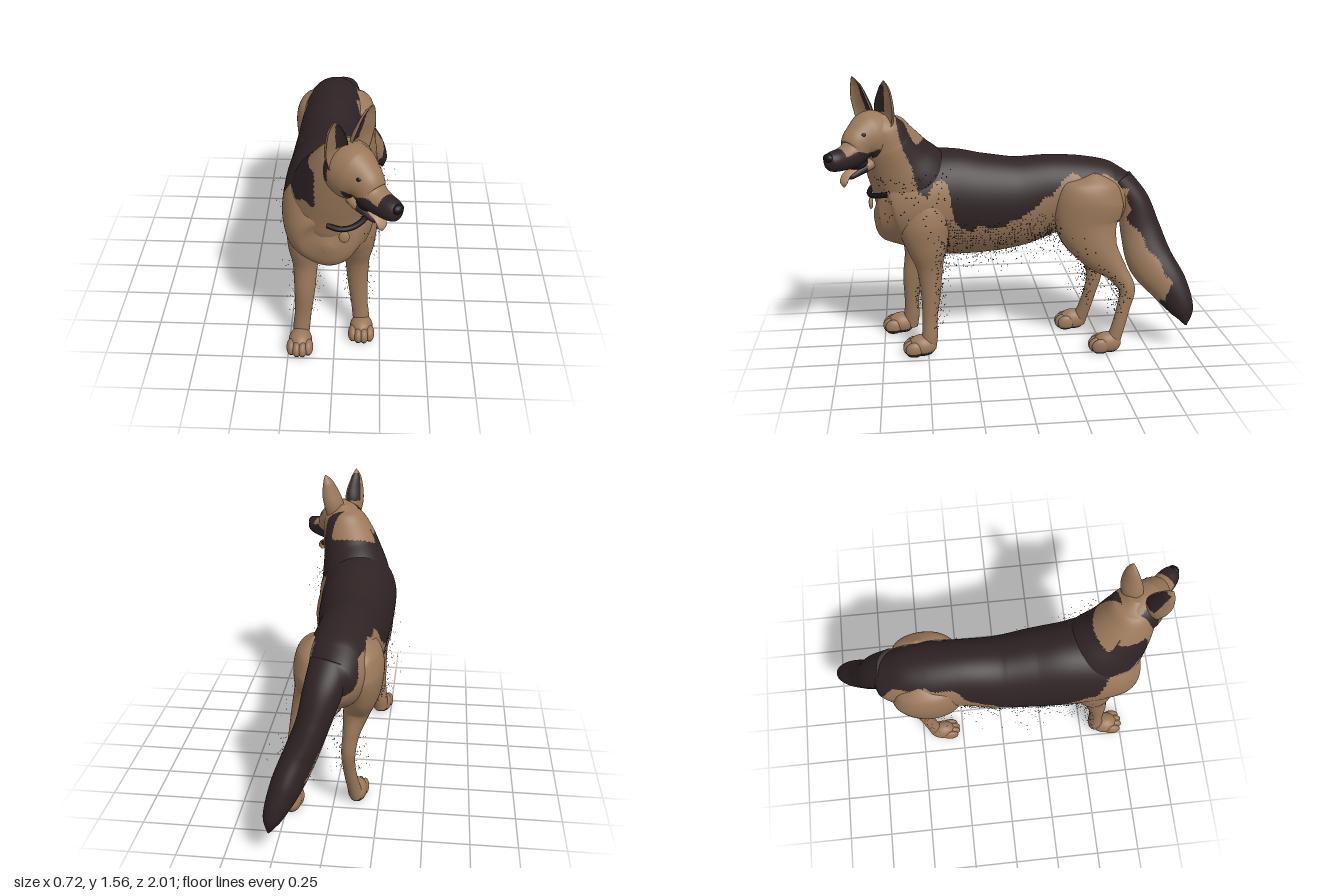
import * as THREE from 'three';

const mat = (name, color, side = THREE.FrontSide) => {
  const m = new THREE.MeshStandardMaterial({ color, side });
  m.name = name;
  return m;
};
const tan = mat('tan coat', 0x9a785a);
const dark = mat('dark coat', 0x2f2324);
const black = mat('black', 0x171213);
const pink = mat('tongue', 0xb08a6c);
const brass = mat('tag', 0xa5825f);
const hairMat = mat('loose hair', 0x2a2122, THREE.DoubleSide);

let seed = 7;
const rand = () => (seed = (seed * 16807) % 2147483647) / 2147483647;
const lerpTable = (table, v) => {
  if (v <= table[0][0]) return table[0][1];
  for (let i = 1; i < table.length; i++) {
    const [a, b] = [table[i - 1], table[i]];
    if (v <= b[0]) return a[1] + (b[1] - a[1]) * (v - a[0]) / (b[0] - a[0]);
  }
  return table[table.length - 1][1];
};

// Smooth skin through elliptical sections [x, y, z, radiusSide, radiusDepth]
function loft(sections, { around = 48, steps = 9, egg = 0, cup = false } = {}) {
  const path = new THREE.CatmullRomCurve3(sections.map(s => new THREE.Vector3(s[0], s[1], s[2])));
  const radii = new THREE.CatmullRomCurve3(sections.map(s => new THREE.Vector3(s[3], s[4], 0)), false, 'catmullrom', 0.5);
  const rows = (sections.length - 1) * steps, pos = [], idx = [];
  for (let i = 0; i <= rows; i++) {
    const p = path.getPoint(i / rows), r = radii.getPoint(i / rows), t = path.getTangent(i / rows);
    const u = new THREE.Vector3(1, 0, 0).addScaledVector(t, -t.x).normalize();
    const v = new THREE.Vector3().crossVectors(t, u);
    for (let j = 0; j < around; j++) {
      const a = j / around * Math.PI * 2, s = Math.sin(a);
      const q = p.clone().addScaledVector(u, Math.cos(a) * Math.max(r.x, 0.002) * (1 + egg * s))
        .addScaledVector(v, s * Math.max(r.y, 0.002) * (cup && s < 0 ? -0.4 : 1));
      pos.push(q.x, q.y, q.z);
    }
  }
  for (let i = 0; i < rows; i++) for (let j = 0; j < around; j++) {
    const k = (j + 1) % around, a = i * around + j, b = i * around + k;
    idx.push(a, b, b + around, a, b + around, a + around);
  }
  const last = rows * around;
  for (let j = 1; j < around - 1; j++) idx.push(0, j + 1, j, last, last + j, last + j + 1);
  const g = new THREE.BufferGeometry();
  g.setAttribute('position', new THREE.Float32BufferAttribute(pos, 3));
  g.setIndex(idx);
  g.computeVertexNormals();
  return g;
}

const blob = (rx, ry, rz, x, y, z) => new THREE.SphereGeometry(1, 28, 20).scale(rx, ry, rz).translate(x, y, z);

function plain(name, geo, material) {
  const m = new THREE.Mesh(geo, material);
  m.name = name;
  return m;
}
// Sort the faces into a tan group and a dark group by a rule on face centre and normal
function painted(name, geo, isDark) {
  const P = geo.attributes.position, src = geo.index.array, lists = [[], []], tri = new THREE.Triangle();
  const mid = new THREE.Vector3(), n = new THREE.Vector3();
  for (let i = 0; i < src.length; i += 3) {
    tri.setFromAttributeAndIndices(P, src[i], src[i + 1], src[i + 2]);
    tri.getMidpoint(mid);
    tri.getNormal(n);
    lists[isDark(mid, n) ? 1 : 0].push(src[i], src[i + 1], src[i + 2]);
  }
  geo.setIndex([...lists[0], ...lists[1]]);
  geo.addGroup(0, lists[0].length, 0);
  geo.addGroup(lists[0].length, lists[1].length, 1);
  return plain(name, geo, [tan, dark]);
}

// Lower edge of the dark saddle along the body; it reaches lower on the right shoulder
const saddleEdge = [[-0.8, 0.5], [-0.7, 0.8], [-0.64, 0.92], [-0.55, 0.99], [-0.28, 1.0], [-0.2, 0.9], [-0.1, 0.83], [0, 0.76],
  [0.1, 0.73], [0.3, 0.73], [0.34, 0.78], [0.37, 0.97], [0.41, 1.03], [0.45, 1.0], [0.48, 0.92], [0.53, 0.95], [0.57, 1.12],
  [0.62, 1.25], [0.66, 1.45]];
const rightShoulderEdge = [[0.3, 0.76], [0.5, 0.88], [0.57, 1.02], [0.8, 1.04]];
const saddle = p => {
  const wob = 0.01 * Math.sin(p.z * 37 + p.x * 9) + 0.006 * Math.sin(p.z * 71);
  if (Math.hypot(p.x / 0.12, (p.z - 0.57) / 0.08) < 1 + wob * 8 && p.y > 1.14) return false;
  if (p.x < -0.09 && p.z > 0.3 && p.y > lerpTable(rightShoulderEdge, p.z) + wob && p.y < 1.22) return true;
  return p.y > lerpTable(saddleEdge, p.z) + wob;
};

// Sparse short hairs standing off a surface
function looseHair(geo, where, density, length, out) {
  const P = geo.attributes.position, N = geo.attributes.normal;
  const p = new THREE.Vector3(), n = new THREE.Vector3();
  for (let i = 0; i < P.count; i++) {
    p.fromBufferAttribute(P, i);
    n.fromBufferAttribute(N, i);
    if (!where(p, n) || rand() > density) continue;
    p.addScaledVector(n, 0.003 + length * rand() * rand());
    const s = 0.007;
    out.push(p.x, p.y, p.z, p.x + s * n.z, p.y - s, p.z - s * n.x, p.x - s * n.z * 0.6, p.y - s * 1.3, p.z + s * n.x * 0.6);
  }
}

function makeHead() {
  const head = new THREE.Group();
  head.name = 'head';
  head.add(painted('skullAndMuzzle', loft([
    [0, -0.01, -0.14, 0.02, 0.02], [0, -0.01, -0.115, 0.085, 0.09], [0, -0.02, -0.05, 0.124, 0.135], [0, -0.03, 0.03, 0.118, 0.138],
    [0, -0.048, 0.09, 0.09, 0.102], [0, -0.092, 0.14, 0.073, 0.076], [0, -0.108, 0.21, 0.062, 0.06],
    [0, -0.11, 0.265, 0.055, 0.054], [0, -0.11, 0.298, 0.04, 0.042], [0, -0.11, 0.316, 0.006, 0.006]], { around: 64, steps: 12 }),
    p => (p.z > 0.035 && p.y < -0.078 + 0.008 * Math.sin(p.z * 50) && p.y > -0.2) || p.z > 0.225
      || (p.x < -0.045 && p.z < -0.04 && p.y > -0.05 && p.y < 0.09)));
  head.add(painted('lowerJaw', loft([[0, -0.14, -0.02, 0.05, 0.04], [0, -0.165, 0.05, 0.058, 0.036], [0, -0.19, 0.12, 0.046, 0.026],
    [0, -0.208, 0.17, 0.034, 0.018], [0, -0.214, 0.195, 0.006, 0.005]], { around: 28 }), p => p.z > 0.08));
  head.add(plain('mouthLining', blob(0.045, 0.035, 0.07, 0, -0.158, 0.09), black));
  head.add(plain('tongue', loft([[0, -0.165, 0.08, 0.026, 0.01], [0, -0.18, 0.14, 0.031, 0.011], [0, -0.2, 0.186, 0.031, 0.01],
    [0, -0.235, 0.207, 0.027, 0.01], [0, -0.26, 0.205, 0.004, 0.003]], { around: 24 }), pink));
  head.add(plain('nose', blob(0.032, 0.025, 0.024, 0, -0.088, 0.298), black));
  for (const s of [1, -1]) {
    head.add(plain('eye', blob(0.016, 0.018, 0.022, s * 0.062, 0.008, 0.104), black));
    // cupped pointed ear, dark along its inner fold
    const ear = loft([[0.07, 0.03, -0.02, 0.055, 0.045], [0.08, 0.1, -0.015, 0.067, 0.052], [0.097, 0.17, -0.005, 0.06, 0.043],
      [0.111, 0.235, 0, 0.039, 0.028], [0.118, 0.27, 0.006, 0.018, 0.012], [0.12, 0.286, 0.01, 0.003, 0.003]]
      .map(r => [s * r[0], ...r.slice(1)]), { around: 36, cup: true });
    head.add(painted('ear', ear, (p, n) => {
      const offset = s * p.x - 0.065 - 0.19 * p.y;
      return p.y > 0.11 && p.y < 0.265 && (n.z > 0.1 ? offset < -0.012 : s < 0 && n.z < -0.2 && offset < 0.01);
    }));
  }
  head.position.set(0.09, 1.27, 0.77);
  head.rotation.y = Math.PI / 4;
  return head;
}

// Paw with four toes, flat dark sole on the ground
function makePaw(name, x, z, sole, width) {
  const paw = new THREE.Group();
  paw.name = name;
  const add = (part, geo) => {
    const P = geo.attributes.position;
    for (let i = 0; i < P.count; i++) P.setY(i, Math.max(0, P.getY(i)));
    paw.add(painted(part, geo, p => p.y < sole));
  };
  add('pad', blob(width, 0.064, 0.08, x, 0.045, z));
  [-1.5, -0.5, 0.5, 1.5].forEach(k =>
    add('toe', blob(width * 0.42, 0.046, 0.048, x + k * width * 0.48, 0.036, z + 0.066 - Math.abs(k) * 0.014)));
  return paw;
}

export function createModel() {
  const dog = new THREE.Group();
  dog.name = 'dog';
  const hair = [];

  const torso = loft([[-0.02, 0.86, -0.72, 0.02, 0.03], [-0.02, 0.86, -0.68, 0.105, 0.11], [-0.03, 0.855, -0.57, 0.155, 0.185],
    [-0.04, 0.86, -0.42, 0.18, 0.215], [-0.05, 0.86, -0.22, 0.178, 0.23], [-0.055, 0.82, 0, 0.195, 0.265],
    [-0.05, 0.82, 0.2, 0.212, 0.29], [-0.05, 0.835, 0.38, 0.222, 0.305], [-0.035, 0.84, 0.55, 0.235, 0.285],
    [-0.03, 0.8, 0.67, 0.208, 0.22], [-0.02, 0.78, 0.745, 0.135, 0.145], [-0.02, 0.78, 0.78, 0.02, 0.02]],
    { around: 96, steps: 14, egg: 0.05 });
  looseHair(torso, p => p.y < 0.78 && p.z > -0.25 && p.z < 0.5, 0.3, 0.15, hair);
  looseHair(torso, p => p.y > 0.62 && p.y < 0.8 && p.z > -0.22 && p.z < 0.45, 0.5, 0.004, hair);
  dog.add(painted('torso', torso, saddle));

  const neck = loft([[-0.04, 0.82, 0.48, 0.21, 0.26], [-0.02, 0.98, 0.565, 0.205, 0.235], [0.01, 1.1, 0.635, 0.178, 0.19],
    [0.05, 1.22, 0.69, 0.15, 0.15], [0.08, 1.31, 0.715, 0.112, 0.115], [0.09, 1.37, 0.72, 0.04, 0.04]], { around: 72, steps: 14 });
  looseHair(neck, (p, n) => n.x > 0.7 && p.y > 0.8 && p.y < 1.05, 0.25, 0.12, hair);
  dog.add(painted('neck', neck, saddle));
  dog.add(makeHead());

  // collar and tag
  const band = new THREE.CatmullRomCurve3([[-0.03, 0.935, 0.785], [0.03, 0.922, 0.797], [0.09, 0.922, 0.782],
    [0.14, 0.932, 0.742], [0.17, 0.945, 0.69]].map(a => new THREE.Vector3(...a)));
  dog.add(plain('collar', new THREE.TubeGeometry(band, 30, 0.015, 10), black));
  dog.add(plain('tag', blob(0.027, 0.035, 0.012, 0.055, 0.87, 0.79), brass));

  // front legs: the right one stands a little further forward
  const fore = [[0.145, 0.03, 0.5, 0.042, 0.045], [0.142, 0.1, 0.49, 0.046, 0.045], [0.132, 0.2, 0.487, 0.046, 0.042],
    [0.122, 0.35, 0.478, 0.056, 0.055], [0.118, 0.5, 0.48, 0.067, 0.073], [0.118, 0.62, 0.49, 0.092, 0.11],
    [0.1, 0.75, 0.5, 0.118, 0.145], [0.08, 0.9, 0.48, 0.095, 0.12], [0.06, 1.0, 0.47, 0.015, 0.02]];
  // hind legs: the left one is set back and out, the right one under the body
  const hind = [[0.03, -0.54, 0.038, 0.045], [0.12, -0.57, 0.035, 0.038], [0.25, -0.605, 0.034, 0.038], [0.36, -0.625, 0.039, 0.046],
    [0.46, -0.565, 0.046, 0.064], [0.58, -0.465, 0.074, 0.12], [0.72, -0.41, 0.1, 0.178], [0.86, -0.425, 0.108, 0.19],
    [0.95, -0.445, 0.08, 0.14], [1.01, -0.45, 0.01, 0.015]];
  for (const left of [true, false]) {
    const side = left ? 'left' : 'right';
    const foreX = x => left ? x : -x - 0.04;
    const foreZ = y => left ? 0 : lerpTable([[0.35, 0.1], [0.8, 0]], y);
    const frontLeg = loft(fore.map(([x, y, z, a, b]) => [foreX(x), y, z + foreZ(y), a, b]));
    looseHair(frontLeg, (p, n) => n.z < -0.3 && p.y > 0.15 && p.y < 0.7, 0.3, 0.08, hair);
    dog.add(painted(side + 'FrontLeg', frontLeg, saddle));
    dog.add(makePaw(side + 'FrontPaw', foreX(0.147), left ? 0.535 : 0.655, 0.022, 0.064));

    const hindX = y => lerpTable(left ? [[0.03, 0.225], [0.15, 0.225], [0.4, 0.2], [0.75, 0.1]]
      : [[0.03, -0.125], [0.2, -0.09], [0.4, -0.085], [0.75, -0.158]], y);
    const hindZ = y => left ? 0 : lerpTable([[0.36, 0.13], [0.72, 0]], y);
    const hindLeg = loft(hind.map(([y, z, a, b]) => [hindX(y), y, z + hindZ(y), a, b]));
    looseHair(hindLeg, (p, n) => n.z > 0.1 && p.y > 0.2 && p.y < 0.75, 0.22, 0.13, hair);
    dog.add(plain(side + 'HindLeg', hindLeg, tan));
    dog.add(makePaw(side + 'HindPaw', hindX(0), left ? -0.515 : -0.375, 0.012, 0.054));
  }

  // bushy tail, dark on the outside and at the tip
  dog.add(painted('tail', loft([[-0.01, 0.94, -0.6, 0.11, 0.085], [0.025, 0.82, -0.685, 0.1, 0.092], [0.07, 0.66, -0.725, 0.088, 0.115],
    [0.13, 0.5, -0.772, 0.088, 0.128], [0.195, 0.36, -0.872, 0.08, 0.106], [0.25, 0.23, -0.942, 0.05, 0.064],
    [0.27, 0.15, -0.96, 0.006, 0.006]], { steps: 14 }),
    p => {
      const wob = 0.012 * Math.sin(p.y * 45);
      return p.z < -0.64 - Math.max(0, 0.75 - p.y) * 0.68 + wob || (p.z < -0.845 + wob && p.y < 0.4)
        || (p.z < -0.81 && p.y < 0.3) || p.y > 0.92;
    }));

  const fringe = new THREE.BufferGeometry();
  fringe.setAttribute('position', new THREE.Float32BufferAttribute(hair, 3));
  fringe.computeVertexNormals();
  dog.add(plain('looseHair', fringe, hairMat));
  return dog;
}
